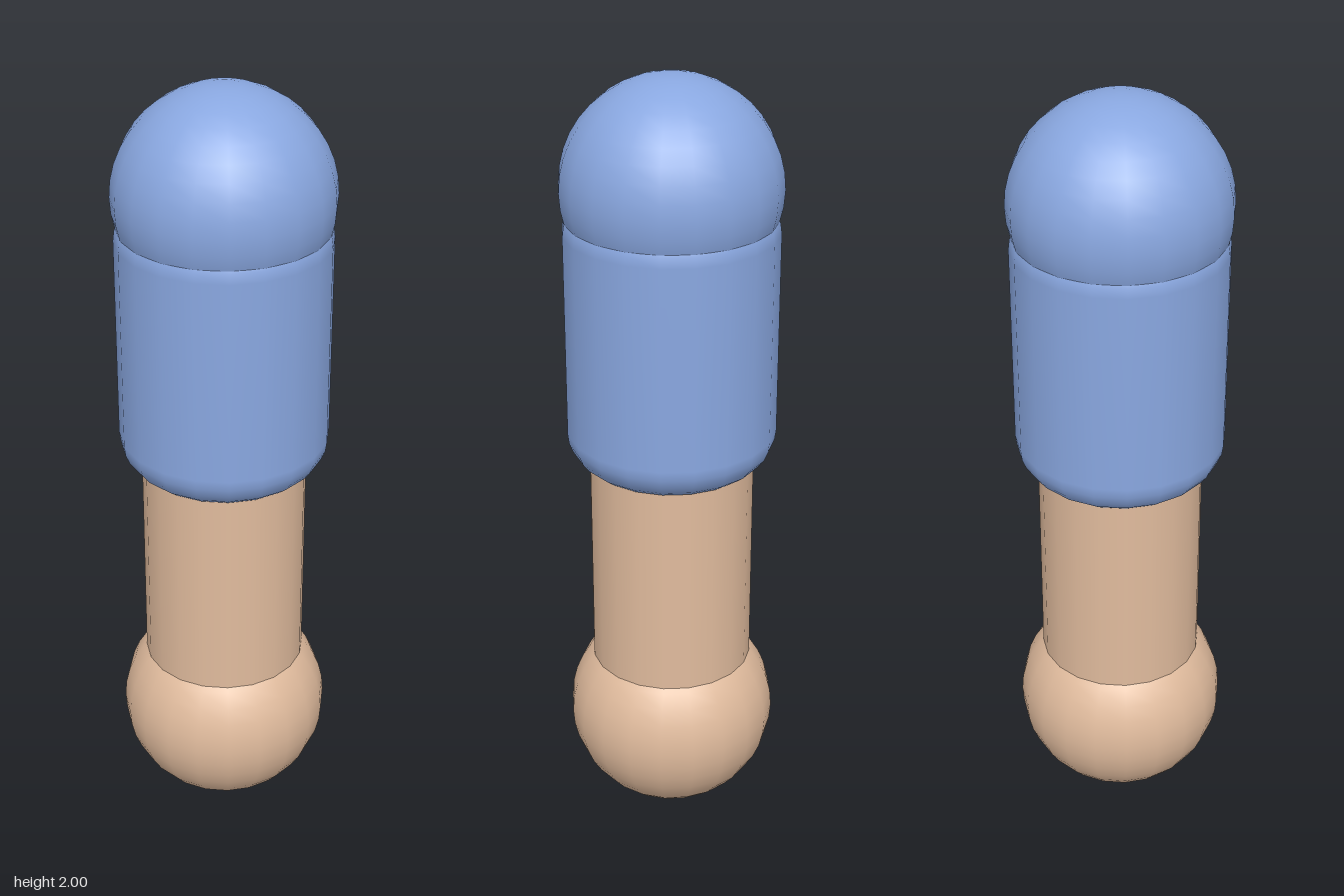
import * as THREE from 'three';

const SIDES = 20;
const TURN = Math.PI / SIDES; // flat sides face the axes

export function createModel() {
  const model = new THREE.Group();
  model.name = 'arm';
  const blue = new THREE.MeshStandardMaterial({ color: 0x89a7e0 });
  blue.name = 'sleeve blue';
  const tan = new THREE.MeshStandardMaterial({ color: 0xe0bb9d });
  tan.name = 'skin tan';

  const add = (name, geometry, material, y) => {
    const mesh = new THREE.Mesh(geometry, material);
    mesh.name = name;
    mesh.position.y = y;
    mesh.rotation.y = TURN;
    model.add(mesh);
  };

  // Shoulder and hand balls
  const R = 0.271;
  add('shoulder', new THREE.SphereGeometry(R, SIDES, SIDES), blue, 2 - R);
  add('hand', new THREE.SphereGeometry(R, SIDES, SIDES), tan, R);

  // Forearm, with its ends hidden in the hand and the sleeve
  add('forearm', new THREE.CylinderGeometry(0.209, 0.209, 0.8, SIDES, 1, true), tan, 0.7);

  // Sleeve with rounded rims
  const radius = 0.265, bevel = 0.1, low = 1.0, high = 1.72, steps = 6;
  const profile = [new THREE.Vector2(0, low)];
  for (const [y, start] of [[low + bevel, -Math.PI / 2], [high - bevel, 0]]) {
    for (let i = 0; i <= steps; i++) {
      const a = start + (i / steps) * Math.PI / 2;
      profile.push(new THREE.Vector2(radius - bevel + bevel * Math.cos(a), y + bevel * Math.sin(a)));
    }
  }
  profile.push(new THREE.Vector2(0, high));
  add('sleeve', new THREE.LatheGeometry(profile, SIDES), blue, 0);

  return model;
}
